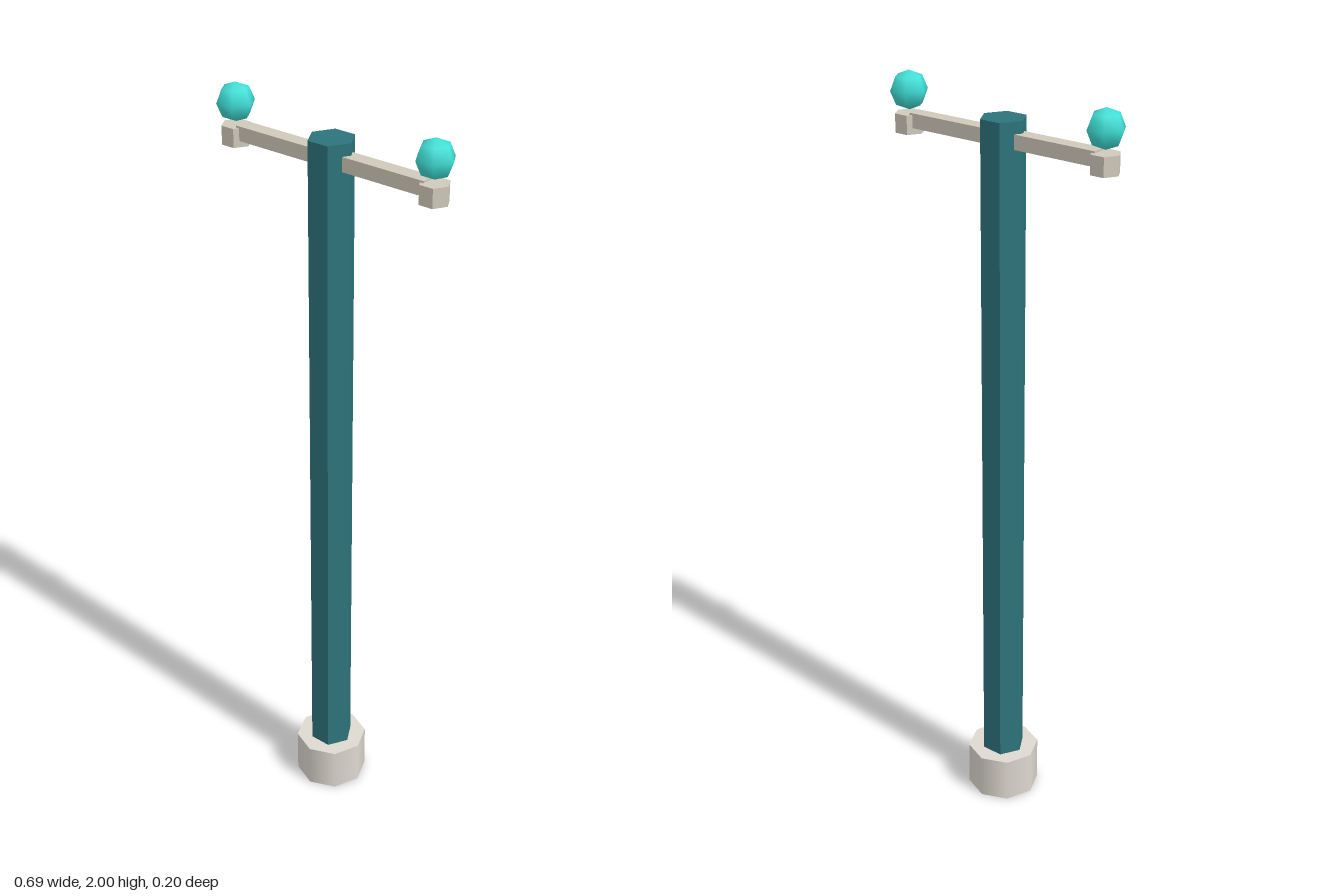
import * as THREE from 'three';

export function createModel() {
  const group = new THREE.Group();
  const mat = (color, flatShading = false) => new THREE.MeshStandardMaterial({ color, flatShading });
  const stone = mat(0xded9d0);
  const stoneFlat = mat(0xd0cabb, true);
  const teal = mat(0x2c747c, true);
  const turquoise = mat(0x40e0d8);

  const add = (name, geometry, material, x, y) => {
    const mesh = new THREE.Mesh(geometry, material);
    mesh.name = name;
    mesh.position.set(x, y, 0);
    group.add(mesh);
    return mesh;
  };
  // six-sided prism with corners pointing along x
  const hexPrism = (r, h) => new THREE.CylinderGeometry(r, r, h, 6).rotateY(Math.PI / 2);

  // octagonal foot and hexagonal post
  add('base', new THREE.CylinderGeometry(0.098, 0.098, 0.125, 8), stone, 0, 0.0625);
  add('post', hexPrism(0.059, 1.81), teal, 0, 1.025);

  // one arm, cup and lamp on each side
  for (const [side, s] of [['left', 1], ['right', -1]]) {
    add(side + 'Arm', new THREE.BoxGeometry(0.28, 0.037, 0.04), stoneFlat, s * 0.14, 1.8815);
    add(side + 'Cup', hexPrism(0.038, 0.048), stoneFlat, s * 0.297, 1.871);
    add(side + 'Lamp', new THREE.SphereGeometry(0.049, 6, 4), turquoise, s * 0.297, 1.951);
  }
  return group;
}
